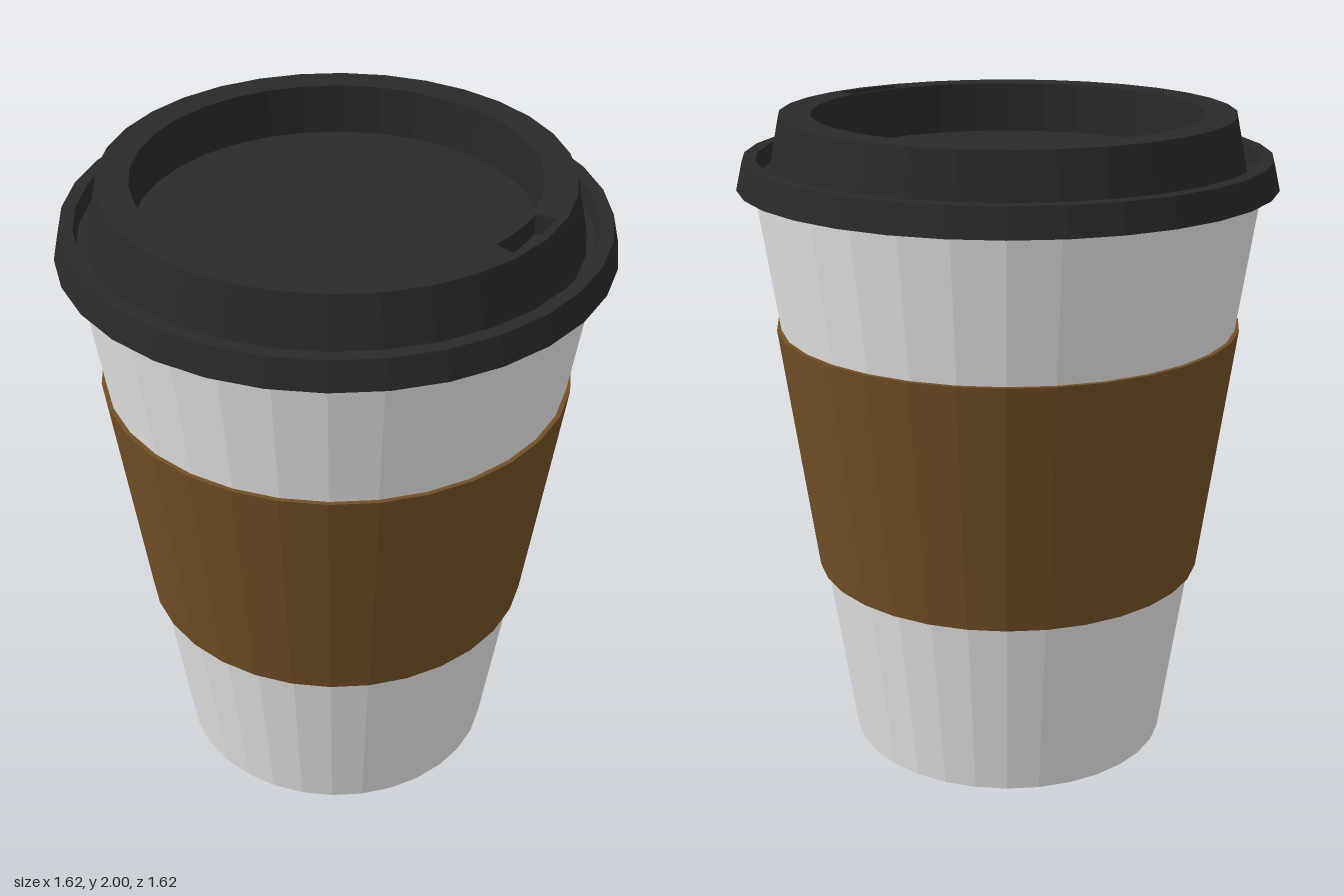
import * as THREE from 'three';

const SIDES = 32;

const cupWhite = new THREE.MeshStandardMaterial({ color: 0xf0f0f0 });
const sleeveBrown = new THREE.MeshStandardMaterial({ color: 0x734f24 });
const lidBlack = new THREE.MeshStandardMaterial({ color: 0x292929 });

// Faceted mesh: every face gets its own flat normal
function facetedMesh(name, geometry, material) {
  const flat = geometry.index ? geometry.toNonIndexed() : geometry;
  flat.computeVertexNormals();
  const mesh = new THREE.Mesh(flat, material);
  mesh.name = name;
  return mesh;
}

// Turned part from [radius, height] pairs
function turned(name, profile, material) {
  const points = profile.map(([r, y]) => new THREE.Vector2(r, y));
  return facetedMesh(name, new THREE.LatheGeometry(points, SIDES), material);
}

// Points along an arc, angle measured from the front towards +x
function arc(radius, from, to, steps) {
  return Array.from({ length: steps + 1 }, (_, i) => {
    const a = from + ((to - from) * i) / steps;
    return new THREE.Vector2(radius * Math.sin(a), -radius * Math.cos(a));
  });
}

function circle(radius) {
  return arc(radius, 0, Math.PI * 2, SIDES).slice(0, SIDES);
}

export function createModel() {
  const model = new THREE.Group();
  model.name = 'lidded cup';

  // Tapered cup with a recessed base
  model.add(turned('cup', [
    [0, 0.11], [0.48, 0.11], [0.465, 0], [0.5, 0], [0.76, 1.8],
  ], cupWhite));

  // Sleeve wrapped around the middle
  model.add(turned('sleeve', [
    [0.58, 0.585], [0.605, 0.585], [0.71, 1.36], [0.69, 1.36],
  ], sleeveBrown));

  const lid = new THREE.Group();
  lid.name = 'lid';
  model.add(lid);

  // Rim, groove and sloping wall
  lid.add(turned('lidRim', [
    [0.74, 1.79], [0.81, 1.79], [0.79, 1.875], [0.75, 1.875],
    [0.745, 1.82], [0.717, 1.82], [0.68, 2],
  ], lidBlack));

  // Sunken centre
  lid.add(turned('lidRecess', [[0.585, 2], [0.585, 1.845], [0, 1.845]], lidBlack));

  // Flat top ring, pierced by the sip slot
  const slotPoints = [
    ...arc(0.655, 0.02, 0.37, 4),
    ...arc(0.595, 0.37, 0.02, 4),
  ];
  const deck = new THREE.Shape(circle(0.68));
  deck.holes.push(new THREE.Path(circle(0.585)), new THREE.Path(slotPoints));
  const deckMesh = facetedMesh('lidTop', new THREE.ShapeGeometry(deck), lidBlack);
  deckMesh.rotation.x = -Math.PI / 2;
  deckMesh.position.y = 2;
  lid.add(deckMesh);

  // Sip slot pocket: mirrored so that its faces look inwards
  const pocket = new THREE.ExtrudeGeometry(new THREE.Shape(slotPoints), {
    depth: 0.06, bevelEnabled: false,
  });
  pocket.scale(1, 1, -1);
  const pocketMesh = facetedMesh('sipSlot', pocket, lidBlack);
  pocketMesh.rotation.x = -Math.PI / 2;
  pocketMesh.position.y = 2;
  lid.add(pocketMesh);

  return model;
}
